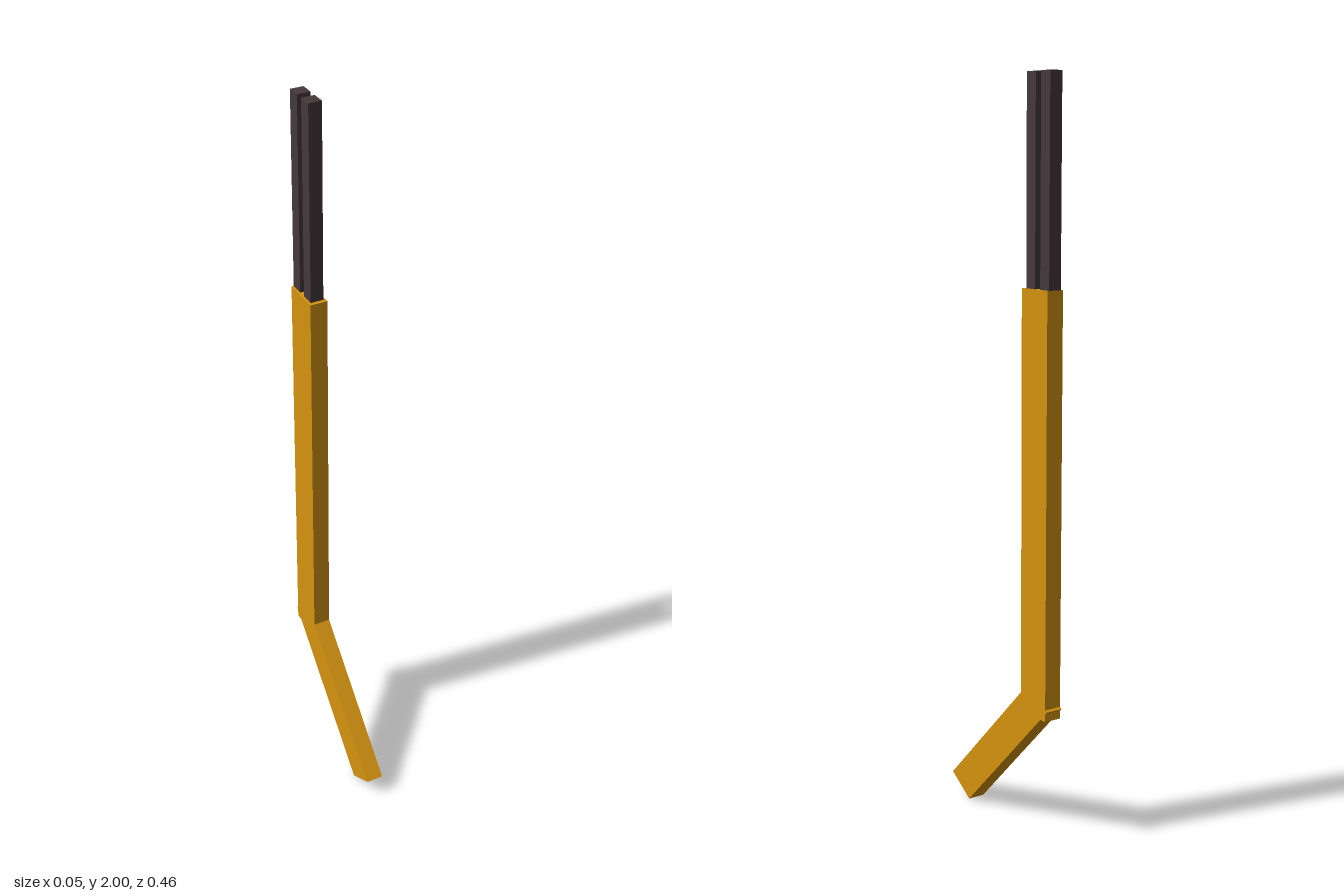
import * as THREE from 'three';

const WIDTH = 0.048;

export function createModel() {
  const group = new THREE.Group();
  const amber = new THREE.MeshStandardMaterial({ color: 0xd4930f, flatShading: true });
  const dark = new THREE.MeshStandardMaterial({ color: 0x45383c, flatShading: true });

  // Box given by its width and its z and y ranges
  const addBox = (name, material, width, z0, z1, y0, y1) => {
    const mesh = new THREE.Mesh(new THREE.BoxGeometry(width, y1 - y0, z1 - z0), material);
    mesh.position.set(0, (y0 + y1) / 2, (z0 + z1) / 2);
    mesh.name = name;
    group.add(mesh);
  };

  // Upright bar
  addBox('uprightBar', amber, WIDTH, -0.222, -0.112, 0.344, 1.468);

  // Two square prongs standing on the bar
  addBox('frontProng', dark, 0.036, -0.161, -0.123, 1.44, 2);
  addBox('backProng', dark, 0.036, -0.221, -0.183, 1.44, 2);

  // Slanted foot: a sheared bar running forward and down, profile as (z, y)
  const profile = new THREE.Shape([
    [0.143, 0], [0.228, 0.054], [-0.144, 0.426], [-0.229, 0.372],
  ].map(([z, y]) => new THREE.Vector2(z, y)));
  const footGeometry = new THREE.ExtrudeGeometry(profile, { depth: WIDTH, bevelEnabled: false });
  footGeometry.translate(0, 0, -WIDTH / 2).rotateY(-Math.PI / 2);
  const foot = new THREE.Mesh(footGeometry, amber);
  foot.name = 'slantedFoot';
  group.add(foot);

  return group;
}
